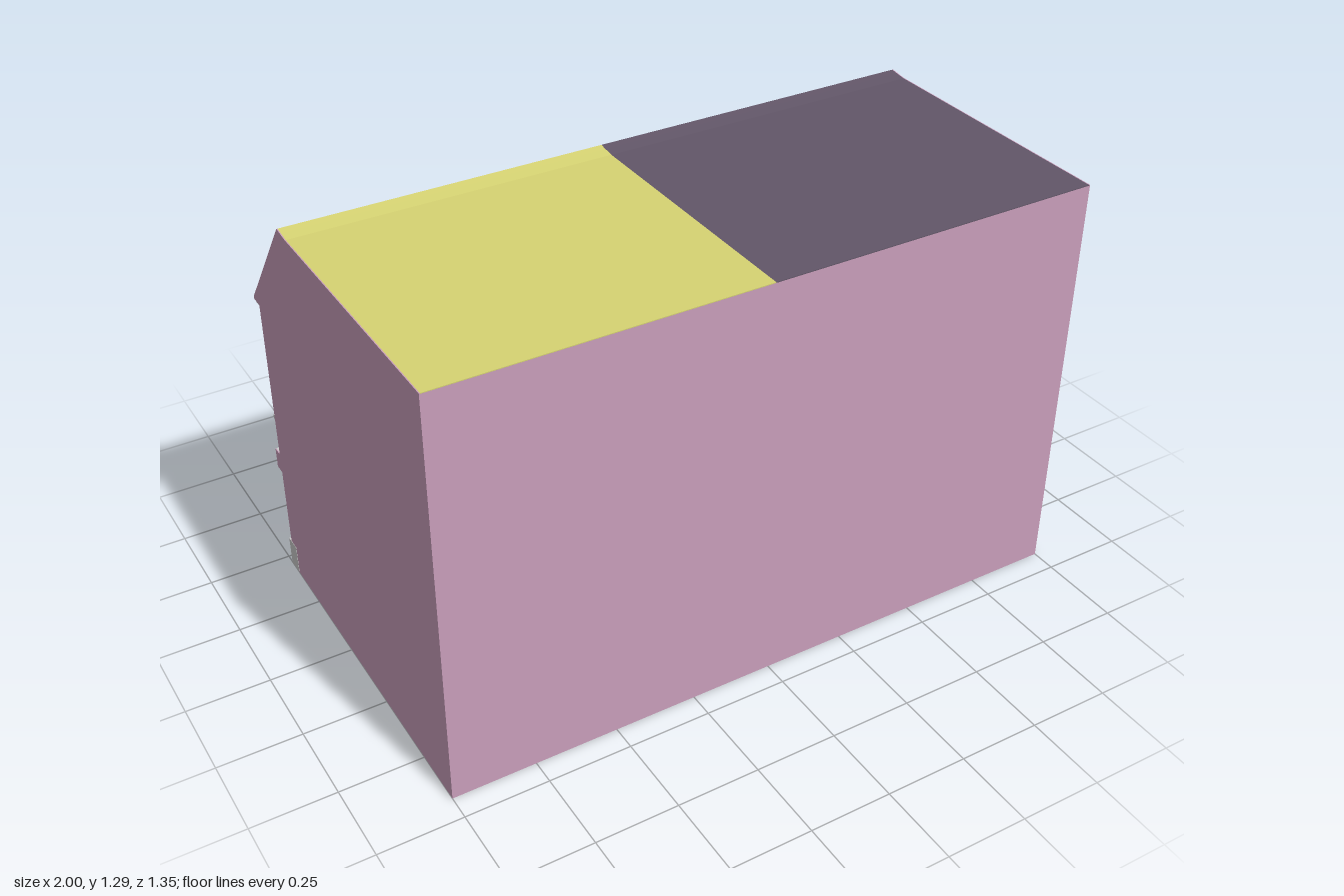
import * as THREE from 'three';

const mat = (color) => new THREE.MeshStandardMaterial({ color, side: THREE.DoubleSide });
const M = {
  grey: mat(0xcccccc), pink: mat(0xc99eba), green: mat(0xb2c6a6), yellow: mat(0xd6d372),
  slate: mat(0x625668), wood: mat(0xc8803f), glass: mat(0x48b4b2), red: mat(0xc8605c),
  iron: mat(0x5a4c2c), dark: mat(0x707070),
};

export function createModel() {
  const root = new THREE.Group();
  root.name = 'shopBuilding';

  const add = (name, geo, material, parent = root) => {
    const m = new THREE.Mesh(geo, material);
    m.name = name;
    parent.add(m);
    return m;
  };
  // Box given by its limits
  const box = (name, x0, x1, y0, y1, z0, z1, material) => {
    const m = add(name, new THREE.BoxGeometry(Math.abs(x1 - x0), y1 - y0, Math.abs(z1 - z0)), material);
    m.position.set((x0 + x1) / 2, (y0 + y1) / 2, (z0 + z1) / 2);
    return m;
  };
  // Side profile of [z, y] points swept from x0 to x1
  const prism = (name, pts, x0, x1, material) => {
    const shape = new THREE.Shape(pts.map(([z, y]) => new THREE.Vector2(-z, y)));
    const geo = new THREE.ExtrudeGeometry(shape, { depth: x1 - x0, bevelEnabled: false });
    geo.rotateY(Math.PI / 2);
    geo.translate(x0, 0, 0);
    return add(name, geo, material);
  };
  const rect = (T, x0, x1, y0, y1) => new T([[x0, y0], [x1, y0], [x1, y1], [x0, y1]]
    .map(([x, y]) => new THREE.Vector2(x, y)));
  // Disc facing -z
  const disc = (name, x, y, z, r, depth, material) => {
    const geo = new THREE.CylinderGeometry(r, r, depth, 24);
    geo.rotateX(Math.PI / 2);
    const m = add(name, geo, material);
    m.position.set(x, y, z);
    return m;
  };

  const SPLIT = -0.03, WALL = -0.43;

  // Core and thin end walls that carry the moulding outline
  prism('bodyCore', [[0.675, 0], [0.675, 1.283], [0.66, 1.275], [-0.15, 1.275], [-0.2, 1.275],
    [-0.41, 1.0], [-0.41, 0]], -0.997, 0.997, M.pink);
  const roofLine = [[-0.15, 1.285], [-0.185, 1.289], [-0.207, 1.292], [-0.49, 0.945], [-0.49, 0.936]];
  const endProfile = [[0.675, 0], [0.675, 1.285], ...roofLine, [-0.45, 0.936], [-0.45, 0.42],
    [-0.485, 0.42], [-0.485, 0.355], [-0.45, 0.355], [-0.45, 0.09], [-0.465, 0.09], [-0.465, 0]];
  for (const x of [-1, 0.997]) prism('endWall', endProfile, x, x + 0.003, M.pink);

  // Two-tone roof with overhanging eave
  const roofProfile = [[0.674, 1.285], ...roofLine, [-0.41, 0.936], [-0.19, 1.2], [0.674, 1.2]];
  prism('yellowRoof', roofProfile, -0.997, SPLIT, M.yellow);
  prism('slateRoof', roofProfile, SPLIT, 0.997, M.slate);

  // Pierced shop fronts with panes behind the openings
  const shops = [
    {
      name: 'pink', x: [SPLIT, 0.997], color: M.pink, door: [0.395, 0.6], sign: 0.5, gap: 0.06,
      windows: [[0.655, 0.94, 0.105, 0.265], [0.05, 0.35, 0.105, 0.265], [0.39, 0.615, 0.645, 0.85]],
    },
    {
      name: 'green', x: [-0.997, SPLIT], color: M.green, door: [-0.64, -0.41], sign: -0.52, gap: 0.053,
      windows: [[-0.31, -0.125, 0.105, 0.265], [-0.875, -0.71, 0.105, 0.265], [-0.87, -0.4, 0.635, 0.83]],
    },
  ];
  for (const s of shops) {
    const [d0, d1] = s.door;
    const front = rect(THREE.Shape, s.x[0], s.x[1], 0, 0.94);
    for (const w of s.windows) front.holes.push(rect(THREE.Path, ...w));
    front.holes.push(rect(THREE.Path, d0, d1, 0.004, 0.28));
    const geo = new THREE.ExtrudeGeometry(front, { depth: 0.02, bevelEnabled: false });
    geo.translate(0, 0, WALL);
    add(s.name + 'Front', geo, s.color);

    for (const [x0, x1, y0, y1] of s.windows) {
      box('windowPane', x0, x1, y0, y1, -0.418, -0.405, M.grey);
      // Slim surround
      const ring = rect(THREE.Shape, x0 - 0.01, x1 + 0.01, y0 - 0.01, y1 + 0.01);
      ring.holes.push(rect(THREE.Path, x0, x1, y0, y1));
      const frame = add('windowFrame', new THREE.ExtrudeGeometry(ring, { depth: 0.012, bevelEnabled: false }), M.grey);
      frame.position.z = WALL - 0.004;
    }

    // Double door: wooden frame, two leaves with glass
    const mid = (d0 + d1) / 2;
    box('doorBack', d0, d1, 0, 0.28, -0.422, -0.405, M.wood);
    for (const x of [d0, d1 - 0.014]) box('doorJamb', x, x + 0.014, 0, 0.28, -0.438, -0.415, M.wood);
    box('doorHead', d0, d1, 0.266, 0.28, -0.438, -0.415, M.wood);
    box('doorMullion', mid - 0.006, mid + 0.006, 0, 0.27, -0.43, -0.415, M.wood);
    for (const side of [-1, 1]) {
      const c = mid + side * (d1 - d0) * 0.235;
      const h = (d1 - d0) * 0.17;
      box('doorGlass', c - h, c + h, 0.065, 0.25, -0.426, -0.415, M.glass);
    }

    // Plinth either side of the door, capped by a sill
    for (const [x0, x1] of [[s.x[0], d0], [d1, s.x[1]]]) {
      box('plinth', x0, x1, 0, 0.075, -0.458, -0.41, s.color);
      box('plinthSill', x0, x1, 0.075, 0.092, -0.465, -0.41, M.grey);
    }
    for (const [x0, x1] of [[d0 - 0.015, d0], [d1, d1 + 0.015]])
      box('plinthEnd', x0, x1, 0, 0.092, -0.464, -0.41, M.grey);

    // Name board with three round ornaments
    box('signBoard', s.sign - 0.2, s.sign + 0.2, 0.435, 0.53, -0.465, -0.42, M.grey);
    box('signPanel', s.sign - 0.185, s.sign + 0.185, 0.447, 0.518, -0.467, -0.46, M.grey);
    for (const i of [-1, 0, 1]) {
      disc('ornament', s.sign + i * s.gap, 0.482, -0.47, 0.023, 0.016, M.dark);
      disc('ornamentBoss', s.sign + i * s.gap, 0.482, -0.474, 0.013, 0.012, M.grey);
    }
  }

  // Pilasters at the corners and on the party line
  for (const [x0, x1] of [[0.955, 0.997], [-0.06, 0], [-0.997, -0.955]]) {
    box('pilaster', x0, x1, 0, 0.936, -0.45, -0.41, M.grey);
    box('pilasterBase', x0 - 0.004, Math.min(x1 + 0.004, 0.997), 0, 0.095, -0.467, -0.41, M.grey);
  }

  // Horizontal mouldings
  box('shopCornice', -0.997, 0.997, 0.355, 0.42, -0.486, -0.41, M.grey);
  box('corniceLip', -0.997, 0.997, 0.34, 0.356, -0.447, -0.41, M.grey);
  box('stringCourse', -0.997, 0.997, 0.538, 0.553, -0.468, -0.41, M.grey);
  box('eaveSoffit', -0.997, 0.997, 0.928, 0.939, -0.486, -0.41, M.grey);
  box('eaveMoulding', -0.997, 0.997, 0.9, 0.93, -0.447, -0.41, M.grey);

  // Tall surround of the upper pink window
  for (const x of [0.35, 0.63]) box('upperJamb', x, x + 0.025, 0.55, 0.9, -0.449, -0.42, M.grey);
  box('upperLintel', 0.35, 0.655, 0.87, 0.9, -0.449, -0.42, M.grey);
  box('upperSill', 0.375, 0.63, 0.625, 0.64, -0.446, -0.42, M.grey);

  // Round fans on slanted poles, mirrored about the pink window
  for (const side of [-1, 1]) {
    const top = new THREE.Vector3(0.5025 + side * 0.345, 0.705, -0.438);
    const foot = new THREE.Vector3(0.5025 + side * 0.275, 0.553, -0.438);
    add('fanPole', new THREE.TubeGeometry(new THREE.LineCurve3(foot, top), 1, 0.007, 8), M.dark);
    disc('fanRim', top.x, top.y, -0.441, 0.06, 0.012, M.dark);
    disc('fanDisc', top.x, top.y, -0.443, 0.054, 0.012, M.red);
  }

  // Hanging sign on a bracket
  const hx = -0.208;
  box('signArm', hx - 0.009, hx + 0.009, 0.822, 0.838, -0.655, -0.42, M.iron);
  for (const z of [-0.565, -0.64]) box('signHanger', hx - 0.004, hx + 0.004, 0.75, 0.825, z - 0.004, z + 0.004, M.iron);
  box('hangingPanel', hx - 0.005, hx + 0.005, 0.63, 0.745, -0.665, -0.545, M.dark);
  for (const [y0, y1, z0, z1] of [[0.62, 0.635, -0.675, -0.535], [0.74, 0.755, -0.675, -0.535],
    [0.635, 0.74, -0.675, -0.66], [0.635, 0.74, -0.55, -0.535]])
    box('hangingFrame', hx - 0.009, hx + 0.009, y0, y1, z0, z1, M.grey);
  const boss = disc('hangingBoss', hx, 0.687, -0.605, 0.021, 0.02, M.dark);
  boss.rotation.y = Math.PI / 2;

  return root;
}
